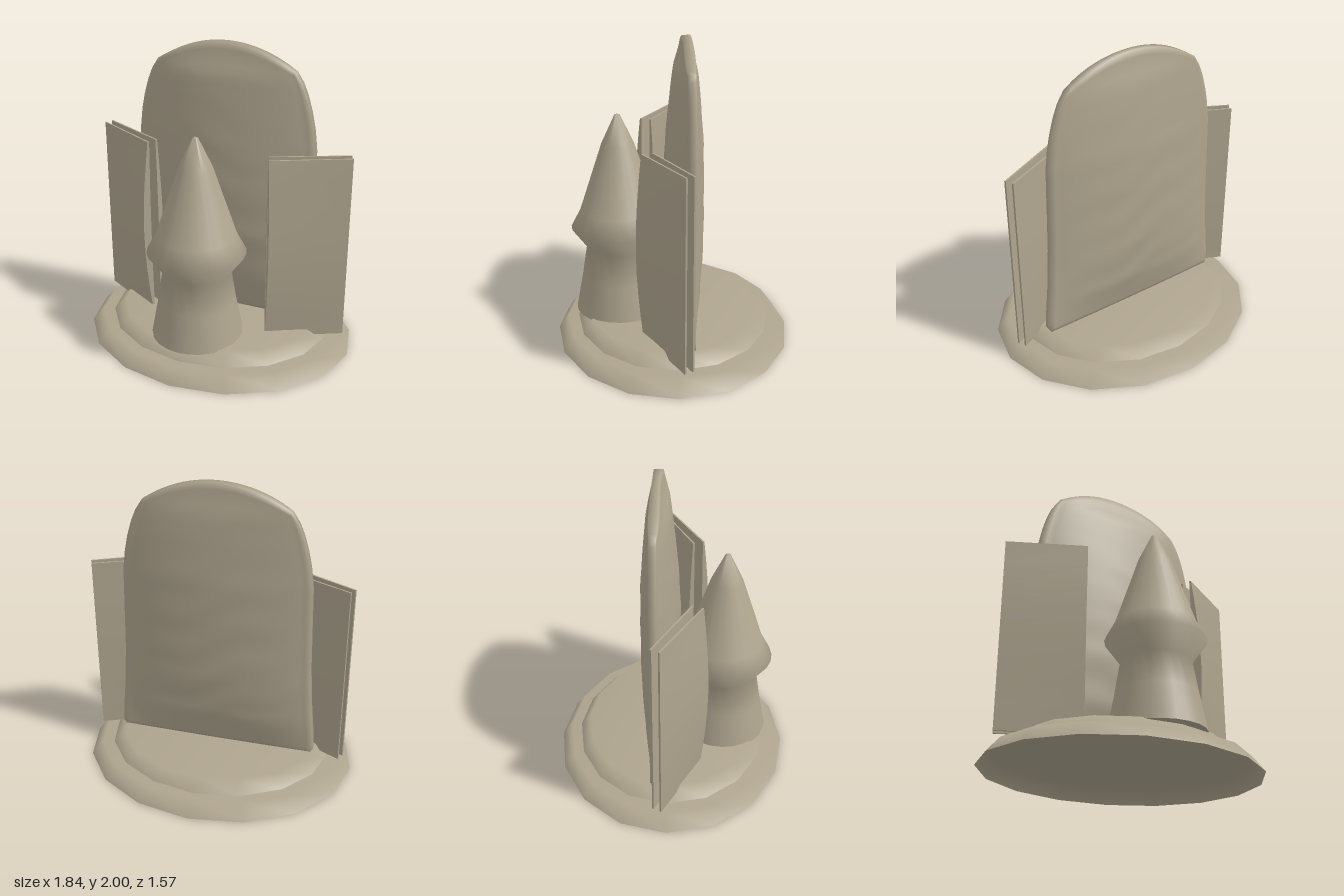
import * as THREE from 'three';
import { toCreasedNormals } from 'three/addons/utils/BufferGeometryUtils.js';

// Double sided because the base is an open shell seen from below
const stone = new THREE.MeshStandardMaterial({ color: 0xaea48e, side: THREE.DoubleSide });
stone.name = 'warm grey stone';

function addMesh(parent, name, geometry) {
  const mesh = new THREE.Mesh(geometry, stone);
  mesh.name = name;
  parent.add(mesh);
  return mesh;
}

// Skins a stack of rings (counterclockwise from above, bottom to top) and caps both ends
function loft(rings, crease) {
  const n = rings[0].length;
  const index = [];
  for (let r = 0; r < rings.length - 1; r++) {
    for (let i = 0; i < n; i++) {
      const a = r * n + i, b = r * n + (i + 1) % n;
      index.push(a, b, b + n, a, b + n, a + n);
    }
  }
  const top = (rings.length - 1) * n;
  for (let i = 0; i < n / 2 - 1; i++) {
    const j = n - 1 - i;
    index.push(top + i, top + i + 1, top + j - 1, top + i, top + j - 1, top + j);
    index.push(i, j - 1, i + 1, i, j, j - 1);
  }
  const geo = new THREE.BufferGeometry();
  geo.setAttribute('position', new THREE.Float32BufferAttribute(rings.flat(2), 3));
  geo.setIndex(index);
  return toCreasedNormals(geo, crease);
}

function lathe(points, sides) {
  return new THREE.LatheGeometry(points.map(([r, y]) => new THREE.Vector2(r, y)), sides);
}

// Linear lookup in a list of [key, value] pairs
function sample(table, k) {
  for (let i = 1; i < table.length; i++) {
    const [k0, v0] = table[i - 1], [k1, v1] = table[i];
    if (k <= k1) return THREE.MathUtils.lerp(v0, v1, (k - k0) / (k1 - k0));
  }
  return table[table.length - 1][1];
}

// Upright slab: bulging lens section, thin flat rim and an arched top
function slabGeometry() {
  const width = [[0.165, 0.655], [0.2, 0.675], [0.3, 0.67], [0.5, 0.65], [0.8, 0.63], [1.1, 0.622],
    [1.37, 0.615], [1.5, 0.598], [1.6, 0.577], [1.7, 0.548], [1.78, 0.515], [1.85, 0.47]];
  const front = [[0.165, 0.02], [0.4, 0.09], [0.75, 0.128], [1.1, 0.13], [1.37, 0.115],
    [1.65, 0.085], [1.8, 0.065], [1.9, 0.025], [2, 0]];
  const back = [[0.165, 0.003], [0.25, 0.025], [0.4, 0.062], [0.7, 0.084], [1.1, 0.084],
    [1.37, 0.078], [1.65, 0.055], [1.8, 0.04], [1.9, 0.015], [2, 0]];
  const rows = 48, cols = 32, rings = [];
  for (let r = 0; r <= rows; r++) {
    const v = r / rows;
    const yFlat = 0.165 + 1.685 * v;
    const w = sample(width, yFlat);
    const point = (u, isFront) => {
      const x = u * w;
      const y = yFlat + 0.15 * (1 - u * u) * v ** 3;
      const swell = Math.max(0, 1 - (u * 1.05) ** 2) ** 0.9;
      // Faint weathering ripples, fading towards the top
      const ripple = 0.003 * Math.sin(y * 24 + x * 9 + Math.sin(x * 11)) * swell * (1 - v) * Math.min(1, v * 5);
      const z = isFront
        ? -0.07 + sample(front, y) * swell + ripple
        : -0.115 - sample(back, y) * swell + ripple;
      return [x, y, z];
    };
    const ring = [];
    for (let i = 0; i <= cols; i++) ring.push(point(-1 + 2 * i / cols, true));
    for (let i = cols; i >= 0; i--) ring.push(point(-1 + 2 * i / cols, false));
    rings.push(ring);
  }
  return loft(rings, 1.8);
}

// Wing panel: thin wedge whose inner edge is thickest halfway up
function panelGeometry(ends, mids, side) {
  const rings = [];
  for (let r = 0; r <= 8; r++) {
    const t = r / 8, k = Math.sin(Math.PI * t);
    const ring = ends.map(([x, z], i) => [
      -side * THREE.MathUtils.lerp(x, mids[i][0], k),
      0.135 + 1.235 * t,
      THREE.MathUtils.lerp(z, mids[i][1], k),
    ]);
    rings.push(side > 0 ? ring.reverse() : ring);
  }
  return loft(rings, 0.5);
}

export function createModel() {
  const model = new THREE.Group();
  model.name = 'monument';

  // Two oval tiers, hollow underneath
  const base = new THREE.Group();
  base.name = 'base';
  base.scale.z = 0.85;
  model.add(base);
  addMesh(base, 'lowerTier', lathe([[0.922, 0], [0.84, 0.095], [0, 0.095]], 16));
  addMesh(base, 'upperTier', lathe([[0.76, 0.095], [0.68, 0.175], [0, 0.175]], 16));

  addMesh(model, 'backSlab', slabGeometry());

  // Flared spire in front of the slab
  const spire = addMesh(model, 'spire', toCreasedNormals(lathe([[0, 0.165], [0.3, 0.165],
    [0.255, 0.4], [0.22, 0.615], [0.318, 0.75], [0.255, 0.87], [0.105, 1.32],
    [0.018, 1.505], [0, 1.515]], 24), 1.3));
  spire.position.set(-0.004, 0, 0.354);

  // Pairs of angled wing panels, given for the -x side and mirrored
  const frontEnds = [[-0.873, -0.035], [-0.415, 0.207], [-0.408, 0.197], [-0.868, -0.045]];
  const frontMids = [[-0.873, -0.035], [-0.442, 0.247], [-0.412, 0.2], [-0.868, -0.045]];
  const rearEnds = [[-0.85, -0.083], [-0.392, 0.143], [-0.386, 0.132], [-0.845, -0.093]];
  const rearMids = [[-0.85, -0.083], [-0.386, 0.143], [-0.37, 0.112], [-0.845, -0.093]];
  for (const [side, label] of [[1, 'left'], [-1, 'right']]) {
    // side -1 keeps the points as given, side 1 mirrors them
    addMesh(model, label + 'FrontPanel', panelGeometry(frontEnds, frontMids, side));
    addMesh(model, label + 'RearPanel', panelGeometry(rearEnds, rearMids, side));
  }
  return model;
}
